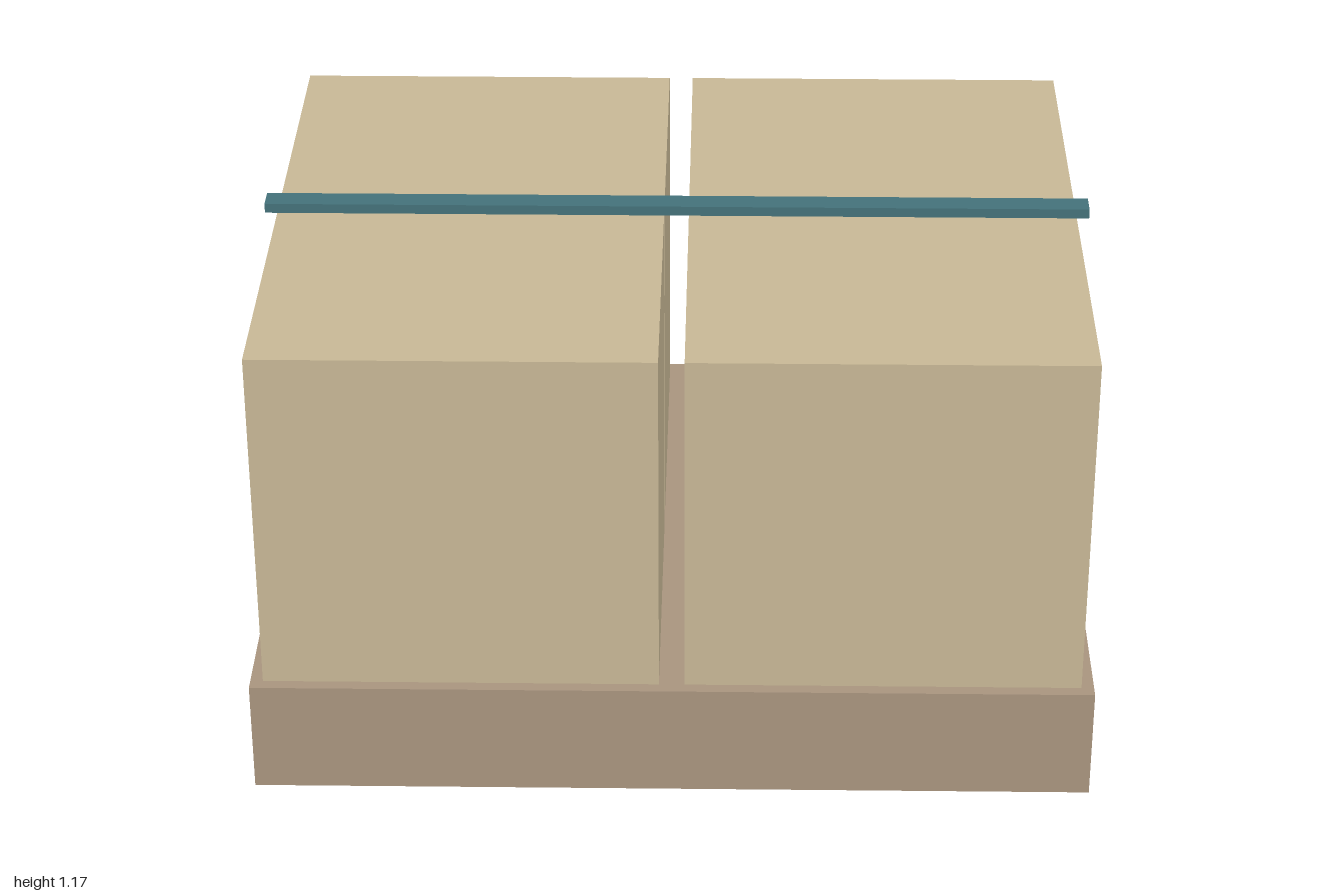
import * as THREE from 'three';

export function createModel() {
  const model = new THREE.Group();
  const material = (color) => new THREE.MeshStandardMaterial({ color });
  const baseMaterial = material(0xa9957f);
  const cartonMaterial = material(0xc8b896);
  const strapMaterial = material(0x44727a);

  // Box resting on height y
  function addBox(name, [w, h, d], [x, y, z], mat) {
    const mesh = new THREE.Mesh(new THREE.BoxGeometry(w, h, d), mat);
    mesh.name = name;
    mesh.position.set(x, y + h / 2, z);
    model.add(mesh);
  }

  // Solid pallet base
  addBox('palletBase', [2, 0.28, 1.6], [0, 0, 0], baseMaterial);

  // Four cartons with narrow gaps between them
  for (const [side, x] of [['Left', 0.5], ['Right', -0.5]]) {
    for (const [end, z] of [['front', 0.4], ['back', -0.4]]) {
      addBox(`${end}${side}Carton`, [0.94, 0.87, 0.74], [x, 0.28, z], cartonMaterial);
    }
  }

  // Strap lying across the top, over the gap
  addBox('topStrap', [2, 0.024, 0.06], [0, 1.15, 0], strapMaterial);

  return model;
}
